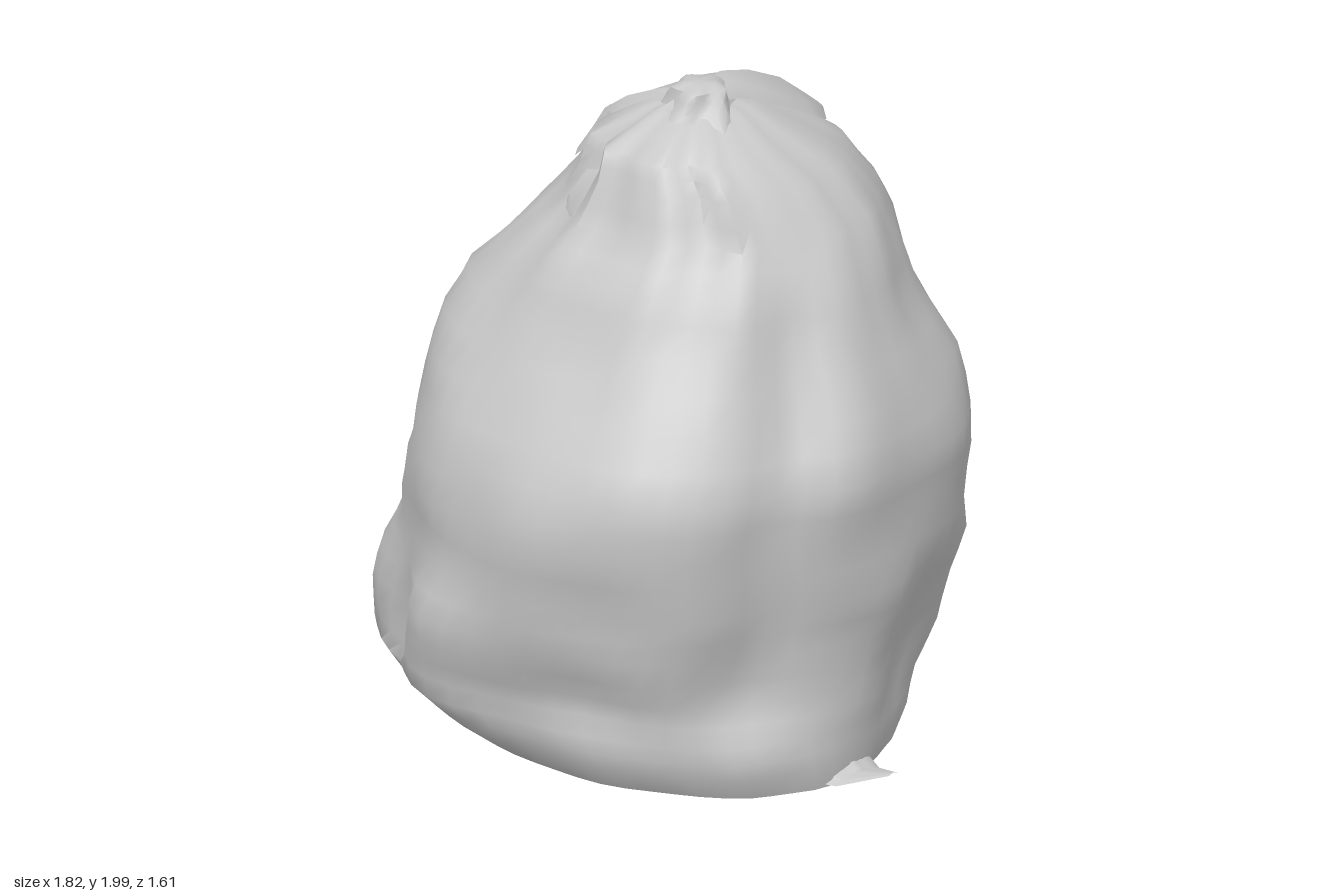
import * as THREE from 'three';
import { toCreasedNormals } from 'three/addons/utils/BufferGeometryUtils.js';

const plastic = new THREE.MeshStandardMaterial({ color: 0xc8c8c8, side: THREE.DoubleSide });
plastic.name = 'grey plastic';

// Skin a list of equally long point rows, row by row.
function skin(name, rows, closed, crease) {
  const n = rows[0].length, pos = [], idx = [];
  rows.forEach(r => r.forEach(p => pos.push(...p)));
  for (let j = 0; j < rows.length - 1; j++) {
    for (let i = 0; i < (closed ? n : n - 1); i++) {
      const k = (i + 1) % n, a = j * n + i, b = j * n + k;
      idx.push(a, a + n, b, b, a + n, b + n);
    }
  }
  const g = new THREE.BufferGeometry();
  g.setAttribute('position', new THREE.Float32BufferAttribute(pos, 3));
  g.setIndex(idx);
  const mesh = new THREE.Mesh(toCreasedNormals(g, crease), plastic);
  mesh.name = name;
  return mesh;
}

// Bag outline: height, -x, +x, back z, front z
const PROFILE = [
  [0.01, -0.70, 0.74, -0.50, 0.59], [0.08, -0.80, 0.75, -0.58, 0.67],
  [0.18, -0.91, 0.75, -0.66, 0.75], [0.30, -0.92, 0.75, -0.76, 0.77],
  [0.45, -0.88, 0.78, -0.80, 0.77], [0.60, -0.83, 0.82, -0.80, 0.77],
  [0.80, -0.76, 0.83, -0.78, 0.80], [0.97, -0.70, 0.85, -0.76, 0.77],
  [1.15, -0.65, 0.79, -0.73, 0.67], [1.35, -0.58, 0.70, -0.62, 0.55],
  [1.50, -0.45, 0.64, -0.58, 0.47], [1.62, -0.36, 0.57, -0.54, 0.37],
  [1.75, -0.25, 0.47, -0.45, 0.32], [1.83, -0.20, 0.38, -0.34, 0.29],
  [1.92, -0.04, 0.24, -0.17, 0.13],
];

// Bulges and dents: angle (0 = left, 90 = front), height, angular spread, height spread, amount
const LUMPS = [
  [144, 0.38, 14, 0.14, 0.04], [104, 0.45, 13, 0.13, 0.04], [122, 0.30, 8, 0.14, -0.06],
  [136, 0.50, 24, 0.35, -0.045], [134, 1.22, 18, 0.2, 0.09], [68, 0.24, 24, 0.13, -0.09],
  [30, 0.10, 9, 0.12, 0.06], [26, 0.75, 10, 0.5, -0.08], [48, 0.85, 14, 0.35, 0.03],
  [85, 1.30, 20, 0.12, -0.02], [318, 0.80, 14, 0.5, 0.05], [250, 0.65, 10, 0.6, -0.10],
  [226, 0.22, 20, 0.22, -0.15], [223, 0.98, 18, 0.24, 0.07], [205, 0.58, 10, 0.09, -0.05],
  [228, 1.50, 18, 0.12, -0.05], [285, 1.05, 14, 0.14, 0.03], [262, 1.25, 12, 0.08, -0.04],
  [295, 0.72, 16, 0.09, -0.05], [290, 0.45, 14, 0.16, 0.02], [340, 0.40, 10, 0.2, -0.04],
  [295, 1.48, 14, 0.1, 0.03], [135, 1.62, 10, 0.1, -0.05], [112, 1.52, 9, 0.1, 0.04],
  [20, 1.25, 7, 0.25, -0.05], [45, 1.55, 6, 0.2, -0.04],
];

function outline(y) {
  let j = 0;
  while (j < PROFILE.length - 2 && y > PROFILE[j + 1][0]) j++;
  const a = PROFILE[j], b = PROFILE[j + 1], t = (y - a[0]) / (b[0] - a[0]);
  return a.map((v, k) => v + (b[k] - v) * t);
}

function bagRing(y, n, size = 1) {
  const [, x0, x1, z0, z1] = outline(y), ring = [];
  for (let i = 0; i < n; i++) {
    const t = i / n * Math.PI * 2, deg = i / n * 360;
    let f = 1;
    for (const [la, ly, sa, sy, amp] of LUMPS) {
      const d = (deg - la + 540) % 360 - 180;
      f += 1.15 * amp * Math.exp(-((d / sa) ** 2) - ((y - ly) / sy) ** 2);
    }
    // pleats gathered towards the neck, strongest at the front, and loose wrinkles lower down
    const gather = THREE.MathUtils.smoothstep(y, 1.1, 1.85) * (0.6 + 0.4 * Math.sin(t));
    f += gather * (0.04 * Math.sin(11 * t + 0.8) + 0.03 * Math.sin(17 * t + 2));
    f += 0.01 * Math.sin(7 * t + 6 * y) + 0.013 * Math.sin(11 * t - 13 * y) * Math.sin(9 * y + 2 * t);
    f *= size;
    ring.push([(x0 + x1) / 2 + (x1 - x0) / 2 * Math.cos(t) * f, y,
      (z0 + z1) / 2 + (z1 - z0) / 2 * Math.sin(t) * f]);
  }
  return ring;
}

// An arched strip of plastic: each station is x, y, z, half width, arch height
function fold(name, stations, across) {
  const rows = stations.map(([x, y, z, w, h]) => {
    const row = [];
    for (let i = 0; i <= 8; i++) {
      const s = i / 4 - 1;
      row.push([x + across[0] * w * s, y - h * s * s + 0.12 * h * Math.cos(s * 9), z + across[1] * w * s]);
    }
    return row;
  });
  return skin(name, rows, false, 0.7);
}

export function createModel() {
  const bag = new THREE.Group();
  bag.name = 'tiedBag';

  // Closed flat base, sagging body and gathered shoulders
  const N = 56, rows = [bagRing(0.01, N, 0)];
  for (const y of [0.01, 0.08, 0.13, 0.18, 0.24, 0.3, 0.37, 0.45, 0.52, 0.6, 0.7, 0.8, 0.88, 0.97, 1.06,
    1.15, 1.25, 1.35, 1.43, 1.5, 1.56, 1.62, 1.68, 1.75, 1.79, 1.83, 1.88, 1.92]) rows.push(bagRing(y, N));
  rows.push(bagRing(1.92, N, 0).map(([x, y, z]) => [x, y + 0.04, z]));
  bag.add(skin('bagBody', rows, true, 0.8));

  // Small twisted knot
  const knotRows = [[1.88, 0.14], [1.93, 0.1], [1.96, 0.085], [1.985, 0.075], [2.0, 0.045], [2.0, 0]].map(([y, r], j) =>
    Array.from({ length: 20 }, (_, i) => {
      const t = i / 20 * Math.PI * 2, q = r * (1 + 0.12 * Math.sin(5 * t + j));
      return [0.13 + q * Math.cos(t), y, 0.02 + q * Math.sin(t)];
    }));
  bag.add(skin('knot', knotRows, true, 0.8));

  // Loose ends hanging from the knot
  bag.add(fold('backFlap', [
    [0.14, 1.99, 0.05, 0.05, 0.03], [0.12, 1.99, -0.08, 0.08, 0.05], [0.11, 1.95, -0.2, 0.11, 0.07],
    [0.1, 1.88, -0.34, 0.14, 0.07], [0.1, 1.82, -0.42, 0.11, 0.05], [0.1, 1.76, -0.5, 0.02, 0.01],
  ], [-1, 0]));
  bag.add(fold('sideFold', [
    [0.12, 1.98, 0.04, 0.03, 0.02], [0.0, 1.94, 0.05, 0.05, 0.05],
    [-0.12, 1.88, 0.06, 0.07, 0.08], [-0.2, 1.82, 0.07, 0.07, 0.08], [-0.27, 1.71, 0.08, 0.04, 0.03],
  ], [0, -1]));
  bag.add(fold('frontFold', [
    [0.12, 1.97, 0.07, 0.04, 0.03], [0.03, 1.88, 0.16, 0.07, 0.08],
    [-0.06, 1.77, 0.24, 0.09, 0.1], [-0.12, 1.65, 0.3, 0.08, 0.08], [-0.15, 1.5, 0.31, 0.03, 0.03],
  ], [0.8, 0.6]));

  // Pinched seam corners at the base
  bag.add(fold('leftBaseCorner', [
    [0.66, 0.1, 0.03, 0.14, 0.07], [0.77, 0.04, 0.03, 0.09, 0.02], [0.91, 0.075, 0.03, 0.015, 0.005],
  ], [0, 1]));
  bag.add(fold('rightBaseCorner', [
    [-0.66, 0.05, 0.15, 0.16, 0.03], [-0.76, 0.045, 0.15, 0.08, 0.02], [-0.85, 0.04, 0.15, 0.015, 0.005],
  ], [0, -1]));
  return bag;
}
